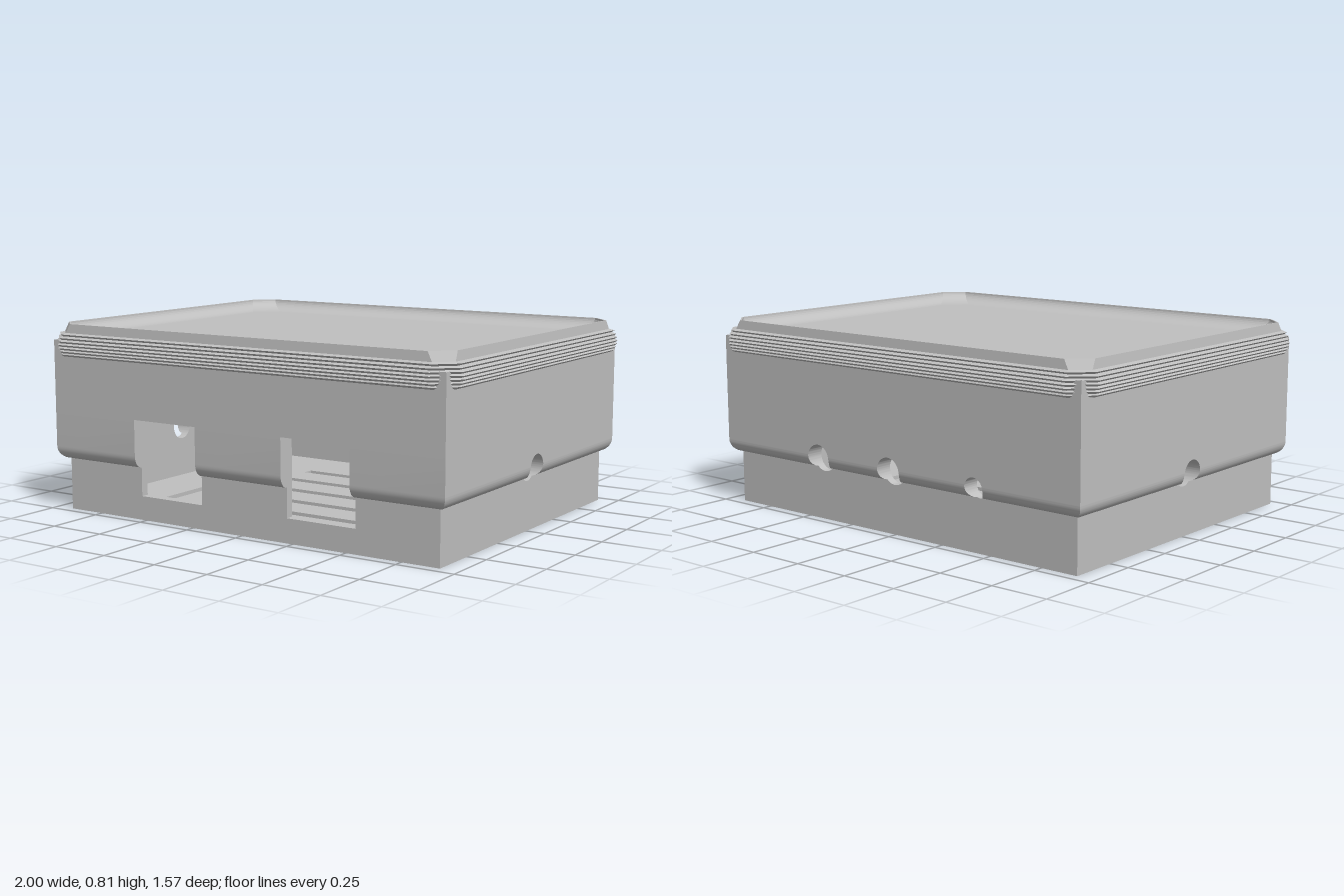
import * as THREE from 'three';
import { toCreasedNormals } from 'three/addons/utils/BufferGeometryUtils.js';

const BASE_X = 0.918, BASE_Z = 0.71, WALL = 0.035, FLARE = 0.042;
const STEP_Y = 0.225, FILLET_H = 0.055, WALL_TOP = 0.74;

// outward swell of the wall: flat plinth, rounded shoulder, flat upper body
function swell(y) {
  if (y <= STEP_Y) return 0;
  const t = Math.min((y - STEP_Y) / FILLET_H, 1);
  return FLARE * Math.sqrt(1 - (1 - t) * (1 - t));
}

function fromTriangles(positions, crease) {
  const g = new THREE.BufferGeometry();
  g.setAttribute('position', new THREE.Float32BufferAttribute(positions, 3));
  g.computeVertexNormals();
  return crease ? toCreasedNormals(g, crease) : g;
}

function quad(out, a, b, c, d) {
  out.push(...a, ...b, ...c, ...a, ...c, ...d);
}

// half width of a round or rectangular opening at height y
function openingHalf(h, y) {
  return h.r ? Math.sqrt(Math.max(0, h.r * h.r - (y - h.y) ** 2)) : h.w / 2;
}

// one hollow wall facing +z, with openings cut through the shoulder
function wallGeometry(half, depth, openings) {
  const rows = new Set([0, STEP_Y, WALL_TOP]);
  for (let i = 1; i <= 10; i++) rows.add(STEP_Y + FILLET_H * (1 - Math.cos((i / 10) * Math.PI / 2)));
  for (const h of openings) {
    const hh = h.r || h.h / 2;
    const n = h.r ? 20 : 1;
    for (let i = 0; i <= n; i++) rows.add(h.y - hh * Math.cos((i / n) * Math.PI));
  }
  const ys = [...rows].sort((a, b) => a - b);
  const outer = (u, y) => [u, y, depth + swell(y)];
  const inner = (u, y) => [u, y, depth - WALL];
  const out = [];
  for (let j = 0; j < ys.length - 1; j++) {
    const y0 = ys[j], y1 = ys[j + 1], mid = (y0 + y1) / 2;
    if (y1 - y0 < 1e-6) continue;
    const active = openings.filter(h => Math.abs(mid - h.y) < (h.r || h.h / 2)).sort((a, b) => a.x - b.x);
    const edges = (y, end) => [-end, ...active.flatMap(h => [h.x - openingHalf(h, y), h.x + openingHalf(h, y)]), end];
    const e0 = edges(y0, half + swell(y0)), e1 = edges(y1, half + swell(y1));
    const i0 = edges(y0, half - WALL), i1 = edges(y1, half - WALL);
    for (let k = 0; k < e0.length; k += 2) {
      quad(out, outer(e0[k], y0), outer(e0[k + 1], y0), outer(e1[k + 1], y1), outer(e1[k], y1));
      quad(out, inner(i0[k + 1], y0), inner(i0[k], y0), inner(i1[k], y1), inner(i1[k + 1], y1));
    }
    // sides of each opening
    for (let k = 1; k < e0.length - 1; k += 2) {
      quad(out, outer(e0[k], y0), inner(e0[k], y0), inner(e1[k], y1), outer(e1[k], y1));
      quad(out, inner(e0[k + 1], y0), outer(e0[k + 1], y0), outer(e1[k + 1], y1), inner(e1[k + 1], y1));
    }
  }
  // sill and head of rectangular openings
  for (const h of openings.filter(o => !o.r)) {
    const l = h.x - h.w / 2, r = h.x + h.w / 2, b = h.y - h.h / 2, t = h.y + h.h / 2;
    quad(out, outer(l, b), outer(r, b), inner(r, b), inner(l, b));
    quad(out, inner(l, t), inner(r, t), outer(r, t), outer(l, t));
  }
  return fromTriangles(out, 0.5);
}

// rectangle with chamfered corners, counter-clockwise seen from above
function octagon({ x, z, c, y }) {
  return [[x, z - c], [x, c - z], [x - c, -z], [c - x, -z], [-x, c - z], [-x, z - c], [c - x, z], [x - c, z]]
    .map(([px, pz]) => [px, y, pz]);
}

// skin between successive octagons, running from the middle outwards
function loftGeometry(rings, capped) {
  const out = [];
  const loops = rings.map(octagon);
  for (let i = 0; i < loops.length - 1; i++) {
    for (let k = 0; k < 8; k++) {
      const n = (k + 1) % 8;
      quad(out, loops[i][k], loops[i + 1][k], loops[i + 1][n], loops[i][n]);
    }
  }
  if (capped) {
    for (let k = 1; k < 7; k++) out.push(...loops[0][0], ...loops[0][k], ...loops[0][k + 1]);
  }
  return fromTriangles(out);
}

// floor plate pierced by vent slots
function floorGeometry() {
  const rect = (P, x, z, w, d) => {
    const p = new P();
    p.moveTo(x - w / 2, z - d / 2);
    p.lineTo(x + w / 2, z - d / 2);
    p.lineTo(x + w / 2, z + d / 2);
    p.lineTo(x - w / 2, z + d / 2);
    p.closePath();
    return p;
  };
  const plate = rect(THREE.Shape, 0, 0, 2 * BASE_X, 2 * BASE_Z);
  for (let i = -2; i <= 2; i++) plate.holes.push(rect(THREE.Path, 0, i * 0.192, 0.86, 0.05));
  for (const s of [-1, 1]) plate.holes.push(rect(THREE.Path, s * 0.6, 0, 0.05, 0.86));
  const g = new THREE.ExtrudeGeometry(plate, { depth: WALL, bevelEnabled: false });
  g.rotateX(-Math.PI / 2);
  return g;
}

export function createModel() {
  const model = new THREE.Group();
  model.name = 'enclosure';
  const grey = new THREE.MeshStandardMaterial({ color: 0xc0c0c0, side: THREE.DoubleSide });
  grey.name = 'light grey';
  const add = (name, geometry, turn = 0) => {
    const mesh = new THREE.Mesh(geometry, grey);
    mesh.name = name;
    mesh.rotation.y = turn;
    model.add(mesh);
  };

  // walls with two front windows, three rear cable holes and one on each side
  const window = x => ({ x, y: 0.267, w: 0.32, h: 0.33 });
  const hole = (x, r) => ({ x, y: 0.267, r });
  add('frontWall', wallGeometry(BASE_X, BASE_Z, [window(-0.36), window(0.385)]));
  add('backWall', wallGeometry(BASE_X, BASE_Z, [hole(-0.4, 0.06), hole(0, 0.06), hole(0.45, 0.045)]), Math.PI);
  for (const s of [-1, 1]) {
    add(s > 0 ? 'leftWall' : 'rightWall', wallGeometry(BASE_Z, BASE_X, [hole(0, 0.058)]), s * Math.PI / 2);
  }
  add('ventedFloor', floorGeometry());

  // lid: sunken panel curving up in facets to a thin raised edge
  const tray = [];
  for (let i = 0; i <= 10; i++) {
    const a = (i / 10) * Math.PI / 2, s = Math.sin(a);
    tray.push({ x: 0.87 + 0.08 * s, z: 0.65 + 0.088 * s, c: 0.1 - 0.02 * s, y: 0.81 - 0.05 * Math.cos(a) });
  }
  tray.push({ x: 0.955, z: 0.742, c: 0.08, y: 0.81 }, { x: 0.96, z: 0.747, c: 0.06, y: 0.765 });
  add('lidTray', loftGeometry(tray, true));

  // ridged band around the lid
  const band = [{ x: 0.955, z: 0.745, c: 0.06, y: 0.772 }];
  const ridges = 7, pitch = 0.1 / ridges;
  for (let i = 0; i < ridges; i++) {
    const peak = 0.018 + 0.022 * Math.sin(((i + 0.5) / ridges) * Math.PI);
    for (const [o, dy] of [[peak, 0.4], [peak - 0.013, 1]]) {
      band.push({ x: 0.96 + o, z: 0.745 + o, c: 0.055 + o, y: 0.772 - pitch * (i + dy) });
    }
  }
  band.push({ x: 0.955, z: 0.745, c: 0.03, y: 0.67 });
  add('lidRidges', loftGeometry(band, false));

  return model;
}
